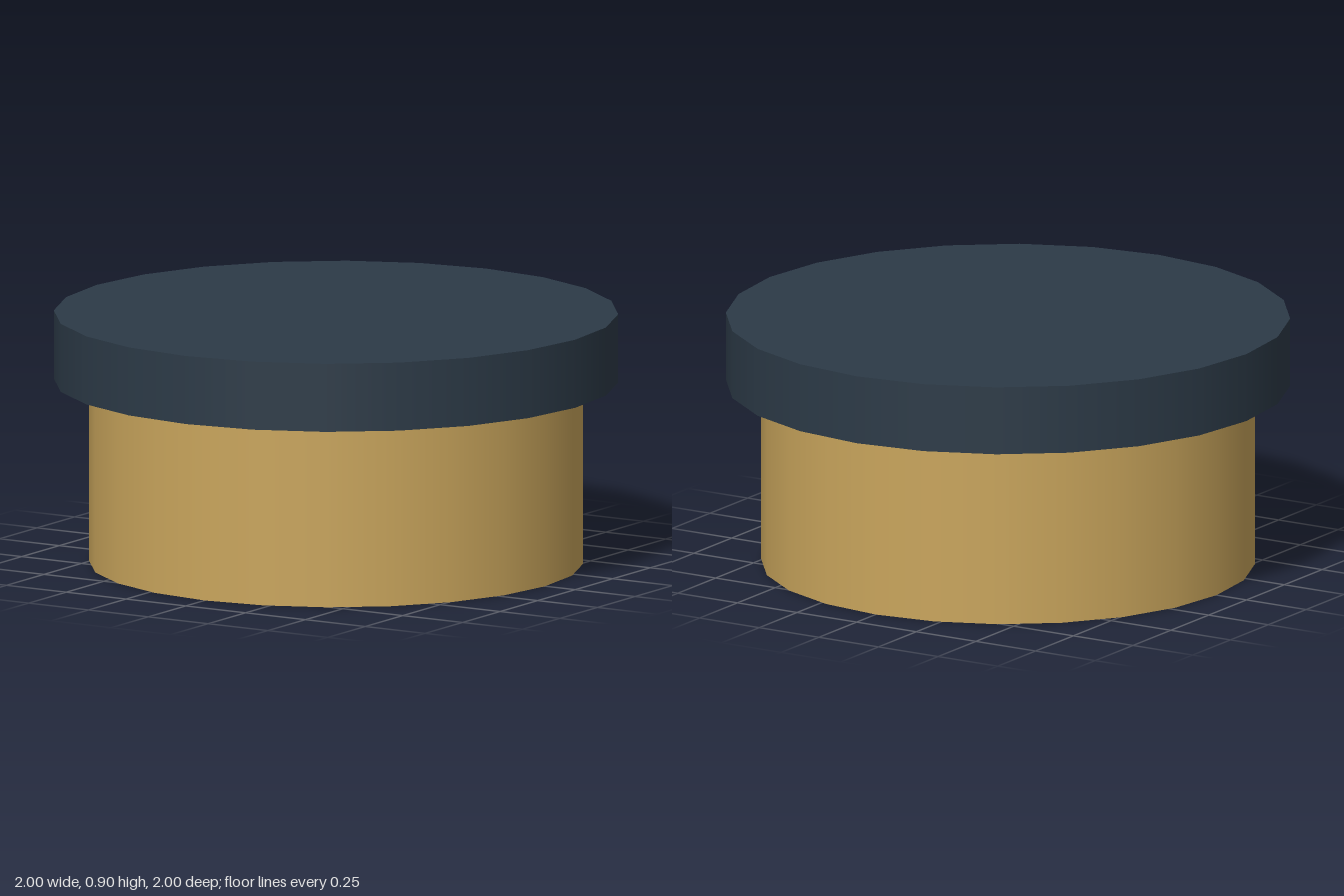
import * as THREE from 'three';

const SIDES = 24;

// Upright smooth-sided drum spanning bottom to top
function drum(name, radius, bottom, top, color) {
  const mesh = new THREE.Mesh(
    new THREE.CylinderGeometry(radius, radius, top - bottom, SIDES),
    new THREE.MeshStandardMaterial({ color })
  );
  mesh.name = name;
  mesh.position.y = (bottom + top) / 2;
  return mesh;
}

export function createModel() {
  const group = new THREE.Group();
  group.name = 'liddedJar';
  // Golden body below, wider dark lid on top
  group.add(drum('body', 0.875, 0, 0.655, 0xc9a55c));
  group.add(drum('lid', 1, 0.655, 0.9, 0x2c3a47));
  return group;
}
